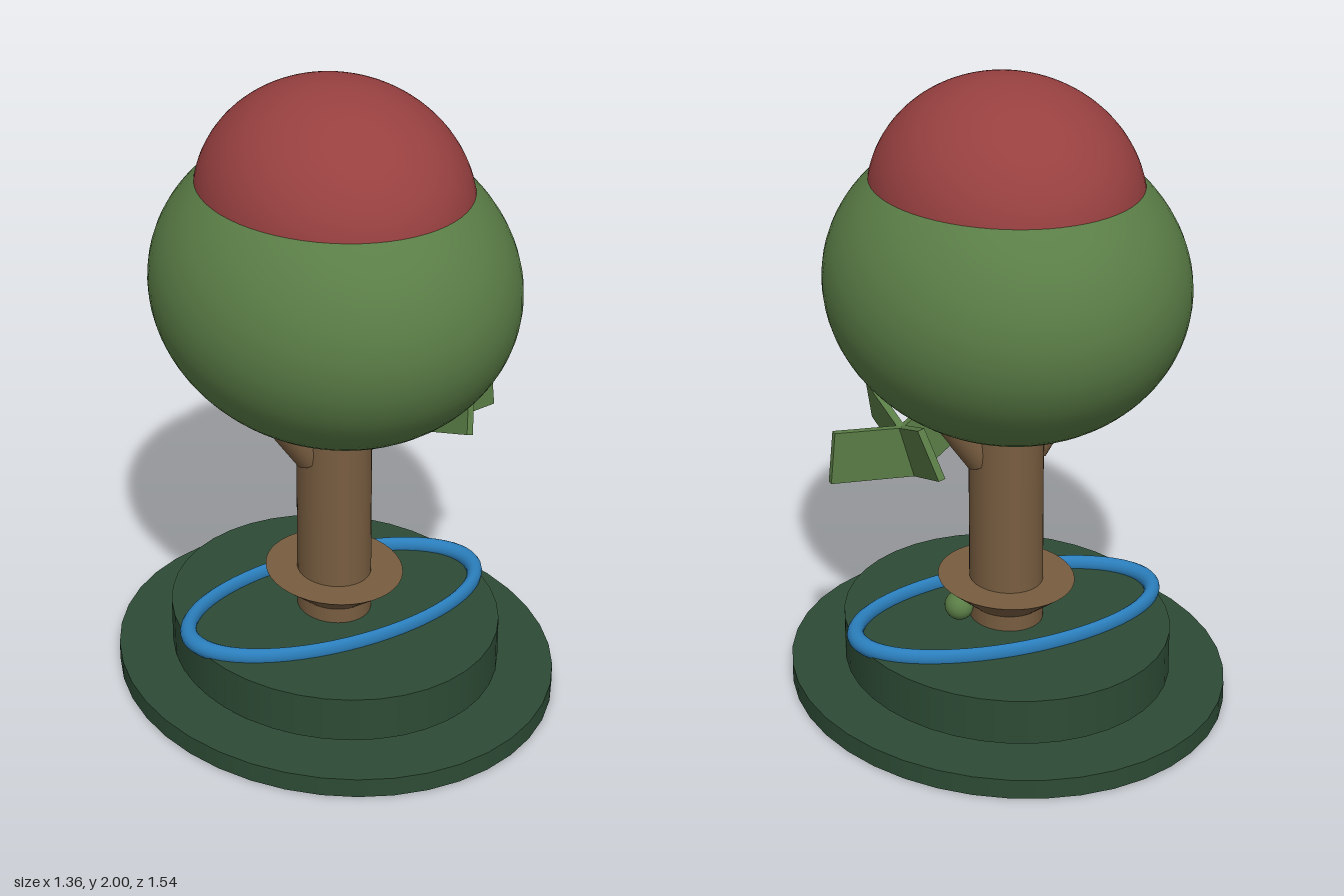
import * as THREE from 'three';

const mat = (name, color) => new THREE.MeshStandardMaterial({ name, color });

export function createModel() {
  const model = new THREE.Group();
  model.name = 'treeOnStand';
  const stand = mat('dark green', 0x2d4b35);
  const leaf = mat('leaf green', 0x5a7d46);
  const red = mat('red', 0x984040);
  const bark = mat('brown', 0x785d40);
  const blue = mat('blue', 0x2b7fbd);
  const DEPTH = 1.135; // everything round is slightly longer front to back

  const add = (name, geometry, material, x = 0, y = 0, z = 0, parent = model) => {
    const mesh = new THREE.Mesh(geometry, material);
    mesh.name = name;
    mesh.position.set(x, y, z);
    parent.add(mesh);
    return mesh;
  };

  // Oval cylinder or cone between two heights
  const drum = (name, rTop, rBottom, y0, y1, material) => {
    const g = new THREE.CylinderGeometry(rTop, rBottom, y1 - y0, 40);
    add(name, g.scale(1, 1, DEPTH), material, 0, (y0 + y1) / 2);
  };

  // Two-step stand
  drum('lowerBase', 0.68, 0.68, 0, 0.063, stand);
  drum('upperBase', 0.51, 0.51, 0.075, 0.222, stand);

  // Trunk with a flared collar
  drum('trunk', 0.115, 0.115, 0.215, 1.1, bark);
  drum('trunkCollar', 0.213, 0.1, 0.26, 0.357, bark);

  // Oval ring lying on the stand
  const ring = new THREE.TorusGeometry(0.51, 0.028, 14, 64).rotateX(Math.PI / 2);
  add('ring', ring.scale(1, 1, 0.52), blue, 0, 0.234);

  // Small fruit beside the trunk
  add('fruit', new THREE.SphereGeometry(0.045, 24, 16).scale(1, 1, DEPTH), leaf, 0.165, 0.284);

  // Crown and its cap
  add('crown', new THREE.SphereGeometry(0.55, 64, 40).scale(1, 0.48 / 0.55, DEPTH), leaf, 0, 1.36);
  const cap = new THREE.SphereGeometry(0.412, 64, 32, 0, Math.PI * 2, 0, Math.PI / 2);
  add('cap', cap.scale(1, 0.38 / 0.412, DEPTH), red, 0, 1.62);

  // Branches slanting from the trunk into the crown
  for (const side of [1, -1]) {
    const g = new THREE.CylinderGeometry(0.05, 0.055, 0.34, 24).translate(0, 0.17, 0);
    const branch = add(side > 0 ? 'leftBranch' : 'rightBranch', g, bark, side * 0.085, 0.79);
    branch.rotation.z = -side * 0.625;
  }

  // Four flat leaves crossing at one point, the whole sprig leaning outward
  const sprig = new THREE.Group();
  sprig.name = 'leafSprig';
  sprig.position.set(0.305, 0.77, 0);
  sprig.rotation.z = -0.27;
  for (let i = 0; i < 4; i++) {
    const g = new THREE.BoxGeometry(0.285, 0.165, 0.022)
      .translate(0.1425, 0.0825, 0)
      .rotateZ(0.37)
      .rotateY((i * Math.PI) / 2);
    add('leaf' + (i + 1), g, leaf, 0, 0, 0, sprig);
  }
  model.add(sprig);

  return model;
}
